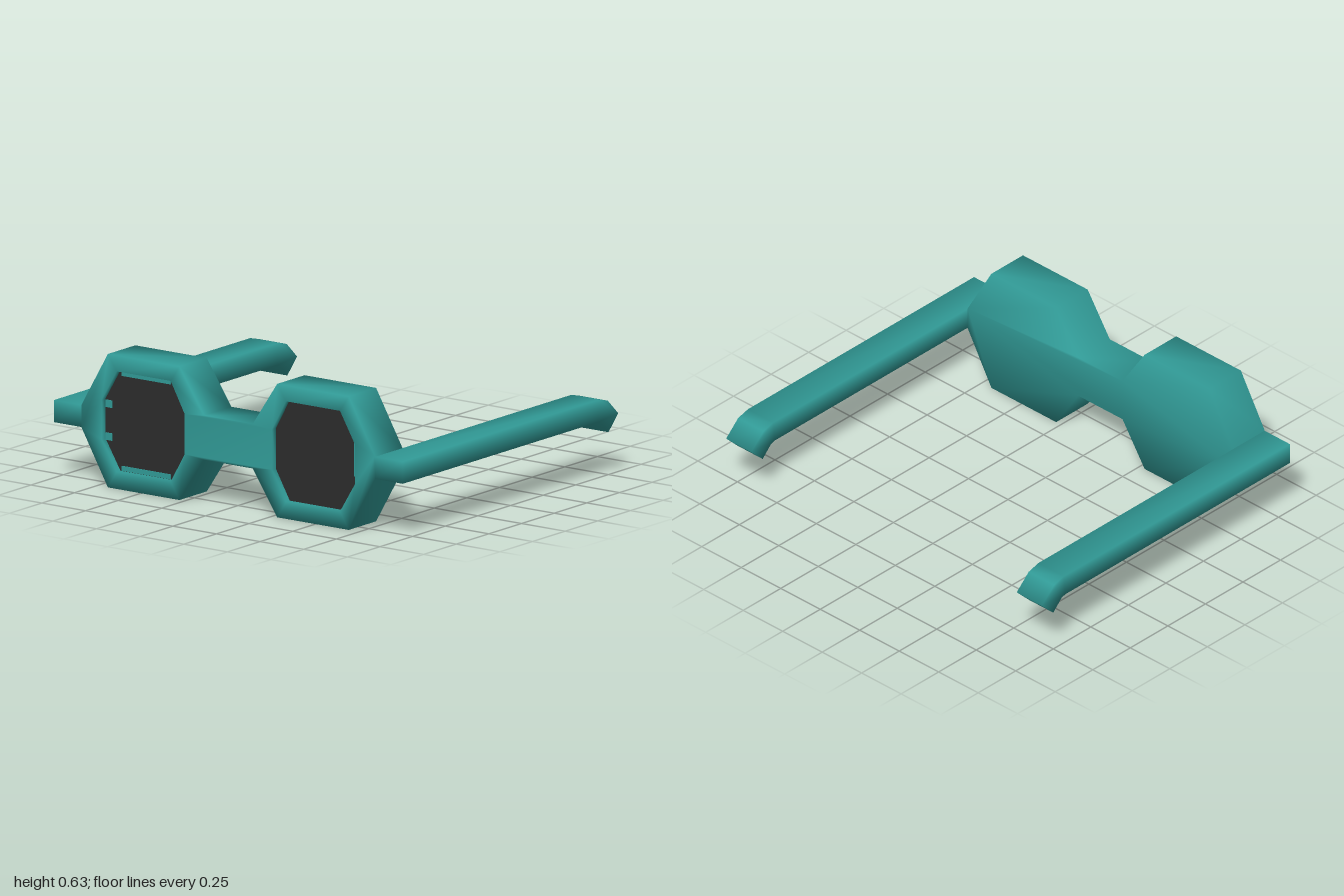
import * as THREE from 'three';
import { mergeVertices } from 'three/addons/utils/BufferGeometryUtils.js';

const FRONT = 0.825, BACK = 0.615, LENS_Z = 0.795;

// Weld corners so the low-poly surfaces shade smoothly
function weld(geometry) {
  geometry.deleteAttribute('uv');
  geometry.deleteAttribute('normal');
  const welded = mergeVertices(geometry, 1e-4);
  welded.computeVertexNormals();
  return welded;
}

const toVectors = (points) => points.map(([x, y]) => new THREE.Vector2(x, y));
const mirror = (points) => points.map(([x, y]) => [-x, y]).reverse();

// Flat face at depth z, optionally turned to face backwards
function addFace(out, shape, z, flip) {
  const g = new THREE.ShapeGeometry(shape);
  const p = g.attributes.position, index = g.index.array;
  for (let i = 0; i < index.length; i += 3) {
    const order = flip ? [0, 2, 1] : [0, 1, 2];
    for (const k of order) out.push(p.getX(index[i + k]), p.getY(index[i + k]), z);
  }
}

// Wall along a closed loop; a counter-clockwise loop faces outwards
function addWall(out, loop, z0, z1) {
  loop.forEach(([ax, ay], i) => {
    const [bx, by] = loop[(i + 1) % loop.length];
    out.push(ax, ay, z0, bx, by, z0, bx, by, z1);
    out.push(ax, ay, z0, bx, by, z1, ax, ay, z1);
  });
}

export function createModel() {
  const model = new THREE.Group();
  const teal = new THREE.MeshStandardMaterial({ color: 0x319a96 });
  teal.name = 'tealPlastic';
  const dark = new THREE.MeshStandardMaterial({ color: 0x2c2c2c });
  dark.name = 'darkLens';
  const add = (name, geometry, material) => {
    const mesh = new THREE.Mesh(geometry, material);
    mesh.name = name;
    model.add(mesh);
    return mesh;
  };

  // Front frame: two octagonal rims joined by the bridge
  const half = [[0.14, 0.21], [0.28, 0], [0.69, 0], [0.84, 0.26],
    [0.84, 0.37], [0.69, 0.63], [0.28, 0.63], [0.14, 0.42]];
  const outline = [...half, ...mirror(half)];
  const leftHole = [[0.25, 0.22], [0.33, 0.08], [0.64, 0.08], [0.725, 0.22],
    [0.725, 0.41], [0.64, 0.555], [0.33, 0.555], [0.25, 0.41]];
  const holes = [leftHole, mirror(leftHole)];
  const frontShape = new THREE.Shape(toVectors(outline));
  frontShape.holes = holes.map((h) => new THREE.Path(toVectors(h)));
  const triangles = [];
  addFace(triangles, frontShape, FRONT, false);
  addFace(triangles, new THREE.Shape(toVectors(outline)), BACK, true);
  addWall(triangles, outline, BACK, FRONT);
  for (const h of holes) addWall(triangles, [...h].reverse(), LENS_Z, FRONT);
  const frame = new THREE.BufferGeometry();
  frame.setAttribute('position', new THREE.Float32BufferAttribute(triangles, 3));
  add('frame', weld(frame), teal);

  // Recessed lenses
  holes.forEach((h, i) => {
    const lens = new THREE.ShapeGeometry(new THREE.Shape(toVectors(h)));
    add(i ? 'rightLens' : 'leftLens', lens, dark).position.z = LENS_Z;
  });

  // Thin teal edge marks on the lenses: x0, x1, y0, y1
  const marks = [[-0.63, -0.35, 0.53, 0.553], [-0.63, -0.35, 0.082, 0.105],
    [-0.722, -0.685, 0.37, 0.405], [-0.722, -0.685, 0.215, 0.25], [0.7, 0.724, 0.25, 0.41]];
  for (const [x0, x1, y0, y1] of marks) {
    const mark = add('lensEdgeMark', new THREE.BoxGeometry(x1 - x0, y1 - y0, 0.004), teal);
    mark.position.set((x0 + x1) / 2, (y0 + y1) / 2, LENS_Z + 0.002);
  }

  // Temple arms with hooked ends; side profile as (-z, y)
  const profile = [[-FRONT, 0.263], [0.67, 0.263], [0.695, 0.255], [0.75, 0.2],
    [0.825, 0.275], [0.745, 0.35], [0.68, 0.367], [-FRONT, 0.367]];
  for (const [name, x] of [['leftArm', 0.84], ['rightArm', -1]]) {
    const arm = new THREE.ExtrudeGeometry(new THREE.Shape(toVectors(profile)),
      { depth: 0.16, bevelEnabled: false });
    arm.rotateY(Math.PI / 2).translate(x, 0, 0);
    add(name, weld(arm), teal);
  }
  return model;
}
